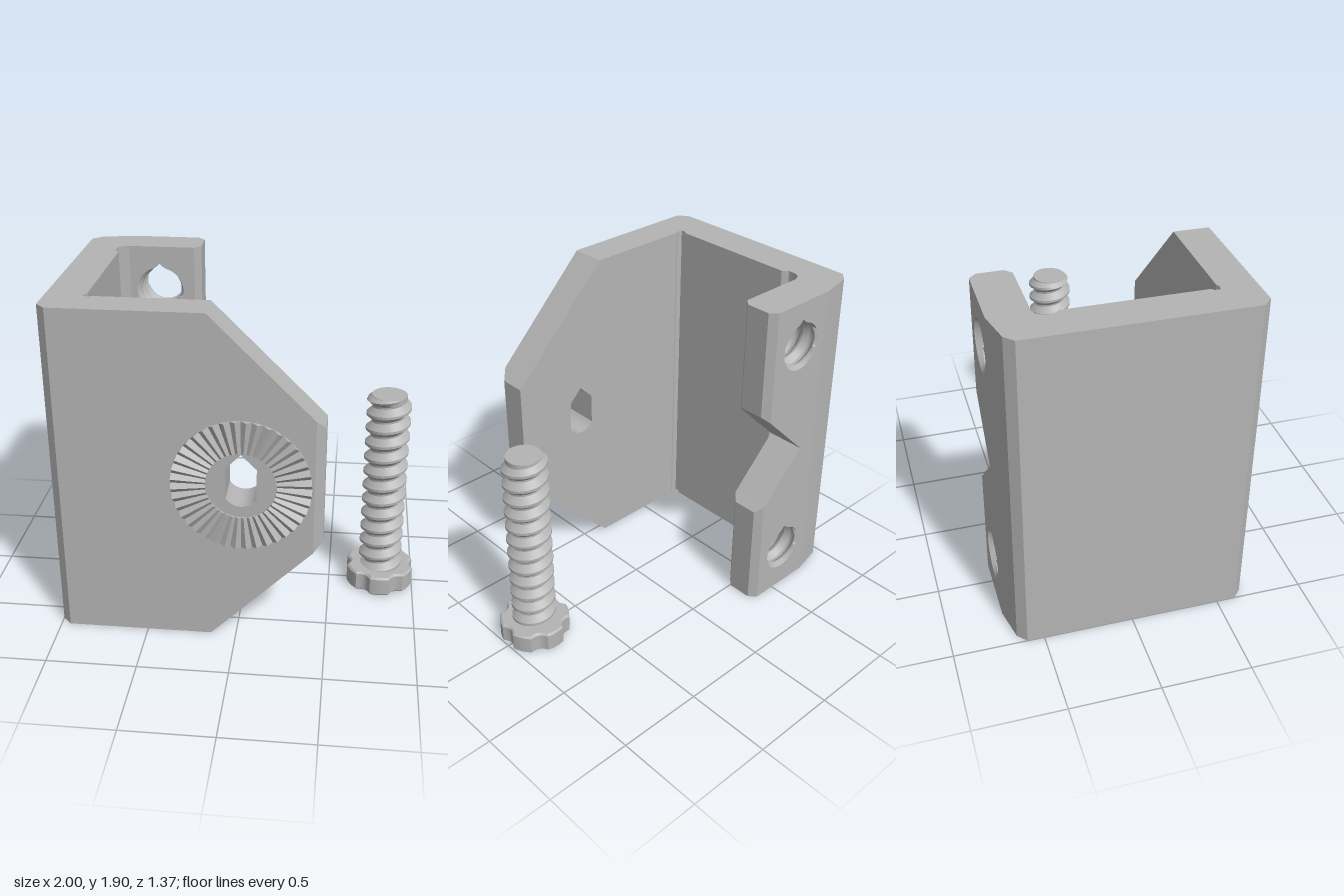
import * as THREE from 'three';
import { toCreasedNormals } from 'three/addons/utils/BufferGeometryUtils.js';
import { ConvexGeometry } from 'three/addons/geometries/ConvexGeometry.js';

const H = 1.9, MID = 0.953, SEG = 48, PITCH = 0.092;

const V2 = ([x, y]) => new THREE.Vector2(x, y);

function meshOf(name, geo, mat) {
  const m = new THREE.Mesh(geo, mat);
  m.name = name;
  return m;
}

function extrude(points, depth, holes = [], bevel = 0) {
  const shape = new THREE.Shape(points.map(V2));
  holes.forEach(h => shape.holes.push(new THREE.Path(h.map(V2))));
  const geo = new THREE.ExtrudeGeometry(shape, {
    depth, bevelEnabled: bevel > 0, bevelSize: bevel, bevelOffset: -bevel,
    bevelThickness: bevel, bevelSegments: 1,
  });
  return toCreasedNormals(geo, 0.45);
}

// Convex slab between two rectangles [x, y0, y1, z0, z1]
function taper(a, b) {
  const pts = [];
  for (const [x, y0, y1, z0, z1] of [a, b])
    for (const y of [y0, y1]) for (const z of [z0, z1]) pts.push(new THREE.Vector3(x, y, z));
  return new ConvexGeometry(pts);
}

// Helical thread around y; limit(r, angle, y, atEnd) trims the radius
function thread(y0, y1, root, crest, limit, inward) {
  const profile = [[0, root], [0.12, root], [0.45, crest], [0.62, crest]];
  const rows = [];
  for (let k = Math.floor(y0 / PITCH) - 2; k * PITCH < y1 + PITCH; k++)
    for (const [f, r] of profile) rows.push([(k + f) * PITCH, r]);
  const pos = [], idx = [];
  for (const [h, r] of rows) for (let i = 0; i <= SEG; i++) {
    const t = (i / SEG) * Math.PI * 2;
    const raw = h + PITCH * i / SEG;
    const y = Math.min(y1, Math.max(y0, raw));
    const rr = limit(r, t, y, raw !== y);
    pos.push(rr * Math.cos(t), y, -rr * Math.sin(t));
  }
  const w = SEG + 1;
  for (let j = 0; j < rows.length - 1; j++) for (let i = 0; i < SEG; i++) {
    const a = j * w + i, b = a + 1, c = a + w, d = c + 1;
    if (pos[a * 3 + 1] === pos[d * 3 + 1] && pos[b * 3 + 1] === pos[c * 3 + 1]) continue;
    if (inward) idx.push(a, c, b, b, c, d);
    else idx.push(a, b, c, b, d, c);
  }
  const geo = new THREE.BufferGeometry();
  geo.setAttribute('position', new THREE.Float32BufferAttribute(pos, 3));
  geo.setIndex(idx);
  return toCreasedNormals(geo, 0.5);
}

// Teardrop radius at an angle, pointed at the top
function teardrop(t, r) {
  const d = Math.abs(t - Math.PI / 2);
  return d < Math.PI / 4 ? r / Math.cos(Math.PI / 4 - d) : r;
}

// Ring of radial V teeth, base on z = 0
function toothedRing(rIn, rOut, teeth) {
  const pos = [], idx = [], n = teeth * 2;
  for (let i = 0; i < n; i++) {
    const t = (i / n) * Math.PI * 2, peak = i % 2;
    const c = Math.cos(t), s = Math.sin(t);
    for (const [r, z] of [[rIn, 0], [rIn, peak ? 0.016 : 0.004], [rOut, peak ? 0.027 : 0.002], [rOut, 0]])
      pos.push(r * c, r * s, z);
  }
  for (let i = 0; i < n; i++) for (let k = 0; k < 3; k++) {
    const a = i * 4 + k, b = ((i + 1) % n) * 4 + k;
    idx.push(a, a + 1, b, b, a + 1, b + 1);
  }
  // wind every face outward
  for (let i = 0; i < idx.length; i += 3) [idx[i + 1], idx[i + 2]] = [idx[i + 1], idx[i + 2]];
  const geo = new THREE.BufferGeometry();
  geo.setAttribute('position', new THREE.Float32BufferAttribute(pos, 3));
  geo.setIndex(idx);
  const flat = geo.toNonIndexed();
  flat.computeVertexNormals();
  return flat;
}

export function createModel() {
  const grey = new THREE.MeshStandardMaterial({ color: 0xb4b4b4 });
  grey.name = 'grey';
  const model = new THREE.Group();
  model.name = 'clampBracketAndScrew';
  const bracket = new THREE.Group();
  bracket.name = 'bracket';
  const screw = new THREE.Group();
  screw.name = 'screw';
  model.add(bracket, screw);

  // Side web with chamfered outer corners and relief grooves inside
  const web = [[-0.75, 0.655], [-0.95, 0.655], [-1, 0.605], [-1, -0.595], [-0.95, -0.643], [-0.765, -0.685],
    [-0.75, -0.685], [-0.75, -0.465], [-0.785, -0.455], [-0.805, -0.43], [-0.812, -0.4], [-0.812, -0.37],
    [-0.785, -0.34], [-0.785, 0.415], [-0.8, 0.43], [-0.8, 0.46], [-0.77, 0.465], [-0.75, 0.455]];
  const webGeo = extrude(web.map(([x, z]) => [x, -z]), H);
  webGeo.rotateX(-Math.PI / 2);
  bracket.add(meshOf('sideWeb', webGeo, grey));

  // Front plate with keyed bolt hole
  const cx = 0.032, key = [[cx, 1.133], [cx - 0.083, 1.05]];
  for (let i = 0; i <= 10; i++) {
    const a = Math.PI * (1.229 + 0.542 * i / 10);
    key.push([cx + 0.125 * Math.cos(a) * 0.88, MID + 0.127 * Math.sin(a)]);
  }
  key.push([cx + 0.083, 1.05]);
  const front = extrude([[-0.75, 0], [-0.14, 0], [0.42, 0.56], [0.42, 1.34], [-0.14, H], [-0.75, H]], 0.2, [key]);
  front.translate(0, 0, 0.455);
  bracket.add(meshOf('frontPlate', front, grey));
  bracket.add(meshOf('frontPlateTip',
    taper([0.42, 0.56, 1.34, 0.455, 0.655], [0.47, 0.61, 1.29, 0.455, 0.605]), grey));

  // Toothed locking ring
  const ring = meshOf('toothedRing', toothedRing(0.19, 0.375, 40), grey);
  ring.position.set(cx, MID, 0.655);
  bracket.add(ring);

  // Back flange with V notch and two threaded holes
  const hx = -0.572, holeYs = [0.27, 1.635];
  const mouth = t => Math.max(0.138, teardrop(t, 0.115));
  const holes = holeYs.map(y => Array.from({ length: SEG }, (_, i) => {
    const t = (i / SEG) * Math.PI * 2, r = mouth(t);
    return [hx + r * Math.cos(t), y + r * Math.sin(t)];
  }));
  const flange = extrude([[-0.75, 0], [-0.365, 0], [-0.365, 0.668], [-0.65, MID], [-0.365, 1.238],
    [-0.365, H], [-0.75, H]], 0.22, holes);
  flange.translate(0, 0, -0.685);
  bracket.add(meshOf('backFlange', flange, grey));
  for (const [a0, a1, b0, b1] of [[0, 0.668, 0, 0.633], [1.238, H, 1.273, H]])
    bracket.add(meshOf('backFlangeEdge',
      taper([-0.365, a0, a1, -0.685, -0.465], [-0.327, b0, b1, -0.645, -0.503]), grey));

  const bore = thread(-0.685, -0.465, 0.106, 0.138,
    (r, t, y, end) => end ? mouth(t) : Math.max(r, teardrop(t, 0.115)), true);
  bore.rotateX(Math.PI / 2);
  for (const y of holeYs) {
    const m = meshOf('threadedHole', bore, grey);
    m.position.set(hx, y, 0);
    bracket.add(m);
  }

  // Screw head: six lobes separated by round scallops
  const outline = [];
  for (let k = 0; k < 6; k++) {
    const mid = k * Math.PI / 3;
    for (let i = 0; i <= 8; i++) {
      const u = i / 4 - 1;
      const t = mid + u * 0.24, r = 0.174 + 0.026 * u * u;
      outline.push([r * Math.cos(t), r * Math.sin(t)]);
    }
    for (let i = 1; i < 6; i++) {
      const t = mid + 0.24 + (Math.PI / 3 - 0.48) * i / 6;
      outline.push([0.2 * Math.cos(t), 0.2 * Math.sin(t)]);
    }
  }
  const head = extrude(outline, 0.1, [], 0.011);
  head.rotateX(-Math.PI / 2);
  head.translate(0, 0.011, 0);
  screw.add(meshOf('screwHead', head, grey));

  // Threaded shaft with a chamfered flat end
  const top = 1.225;
  screw.add(meshOf('screwThread', thread(0.115, top, 0.094, 0.127,
    (r, t, y) => Math.min(r, 0.1 + (top - y)), false), grey));
  const end = new THREE.CylinderGeometry(0.1, 0.1, 0.03, SEG);
  end.translate(0, top - 0.015, 0);
  screw.add(meshOf('screwEnd', end, grey));
  screw.position.x = 0.803;

  return model;
}
